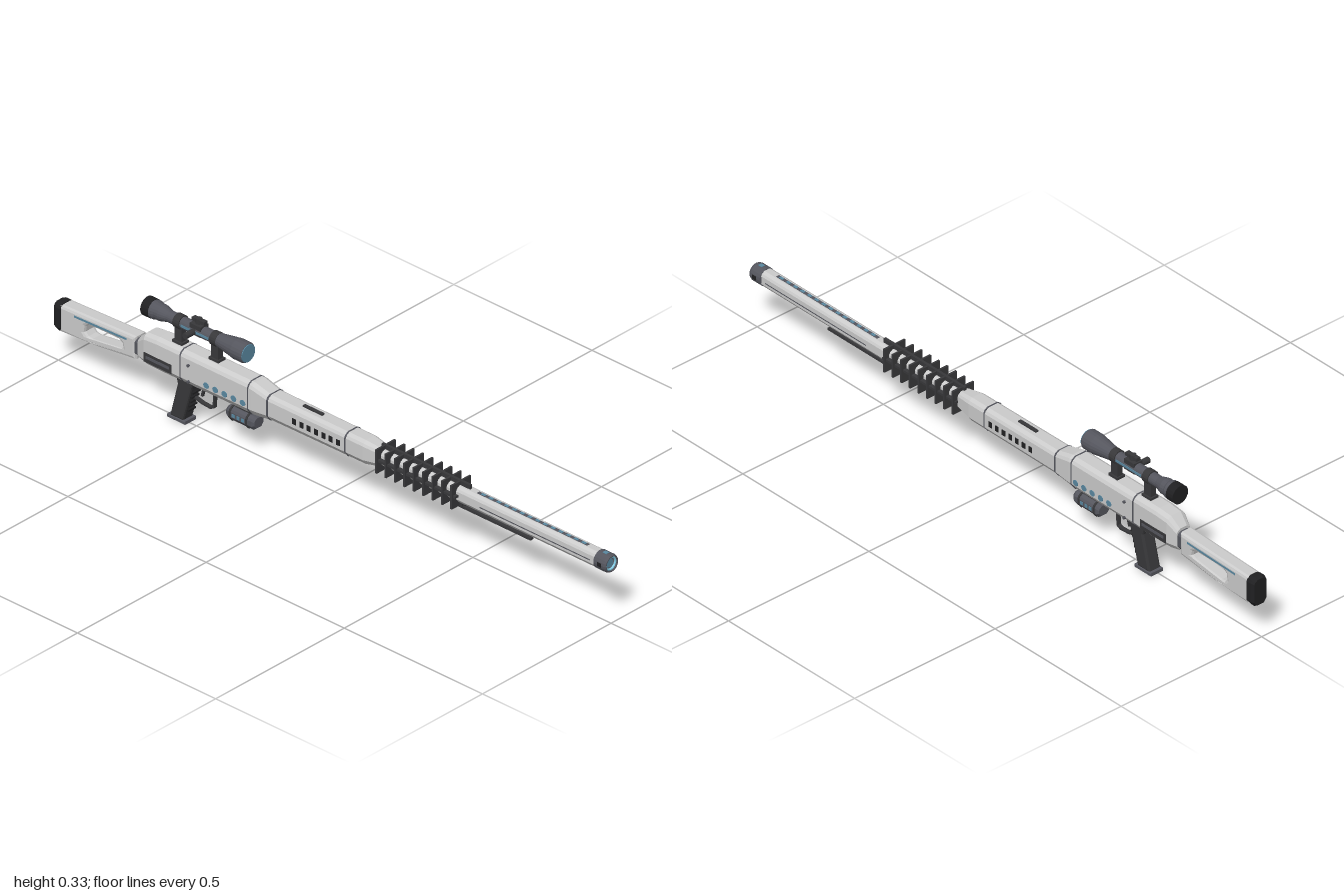
import * as THREE from 'three';

const mat = (color) => new THREE.MeshStandardMaterial({ color, flatShading: true });
const light = mat(0xcccccc), dark = mat(0x38383a), mid = mat(0x55565e), black = mat(0x202022);
const blue = mat(0x5a88a0), glow = mat(0x86cfe8);

// Hull through chamfered sections [z, bottom, top, halfWidth, topChamfer, bottomChamfer], front to back
function loft(sections) {
  const rings = sections.map(([z, b, t, w, ct, cb]) => [
    [w, b + cb * 1.3], [w, t - ct], [w - ct * 0.3, t - ct * 0.45], [w - ct, t],
    [ct - w, t], [ct * 0.3 - w, t - ct * 0.45], [-w, t - ct], [-w, b + cb * 1.3],
    [cb - w, b], [w - cb, b],
  ].map(([x, y]) => [x, y, z]));
  const n = rings[0].length, pos = [];
  const tri = (...p) => p.forEach((v) => pos.push(...v));
  for (let s = 0; s < rings.length - 1; s++) {
    const A = rings[s], B = rings[s + 1];
    for (let i = 0; i < n; i++) {
      const j = (i + 1) % n;
      tri(A[i], B[i], A[j]);
      tri(A[j], B[i], B[j]);
    }
  }
  const F = rings[0], K = rings[rings.length - 1];
  for (let i = 1; i < n - 1; i++) {
    tri(F[0], F[i], F[i + 1]);
    tri(K[0], K[i + 1], K[i]);
  }
  const g = new THREE.BufferGeometry();
  g.setAttribute('position', new THREE.Float32BufferAttribute(pos, 3));
  g.computeVertexNormals();
  return g;
}

// Side outline in (z, y), extruded across x with a bevel
function slab(points, width, bevel, hole) {
  const v = (p) => p.map(([z, y]) => new THREE.Vector2(z, y));
  const shape = new THREE.Shape(v(points));
  if (hole) shape.holes.push(new THREE.Path(v(hole)));
  const depth = width - 2 * bevel;
  const g = new THREE.ExtrudeGeometry(shape, {
    depth, bevelEnabled: bevel > 0, bevelSize: bevel, bevelOffset: -bevel, bevelThickness: bevel, bevelSegments: 2,
  });
  return g.translate(0, 0, -depth / 2).rotateY(-Math.PI / 2);
}

// Turned part along z from [radius, z] pairs
function turned(profile, sides = 20) {
  const pts = profile.map(([r, z]) => new THREE.Vector2(r, z));
  return new THREE.LatheGeometry(pts, sides).rotateX(Math.PI / 2);
}

export function createModel() {
  const root = new THREE.Group();
  const body = new THREE.Group();
  body.name = 'rifle';
  body.position.x = 0.004;
  root.add(body);

  const add = (name, geo, m, x = 0, y = 0, z = 0) => {
    const mesh = new THREE.Mesh(geo, m);
    mesh.name = name;
    mesh.position.set(x, y, z);
    body.add(mesh);
    return mesh;
  };
  const box = (name, m, w, h, d, x, y, z) => add(name, new THREE.BoxGeometry(w, h, d), m, x, y, z);
  const bothSides = (fn) => [-1, 1].forEach(fn);

  // Barrel with vent slots along the top and grooves on the sides
  add('barrel', loft([[0.965, 0.157, 0.205, 0.021, 0.012, 0.009], [0.15, 0.157, 0.205, 0.021, 0.012, 0.009]]), light);
  box('barrelTopStrip', mid, 0.011, 0.002, 0.4, 0, 0.2045, 0.715);
  for (let i = 0; i < 14; i++) box('barrelVent', blue, 0.008, 0.004, 0.014, 0, 0.2045, 0.535 + i * 0.028);
  bothSides((s) => box('barrelGroove', mid, 0.002, 0.003, 0.4, s * 0.0205, 0.178, 0.74));

  // Muzzle: hollow collar, glowing ring and bore
  add('muzzleCollar', turned([[0.02, 0.955], [0.027, 0.957], [0.027, 0.993], [0.024, 1], [0.021, 1], [0.021, 0.985], [0, 0.985]]), mid, 0, 0.181);
  add('muzzleRing', new THREE.TorusGeometry(0.0185, 0.0032, 8, 24), glow, 0, 0.181, 0.994);
  add('muzzleBore', new THREE.CylinderGeometry(0.013, 0.013, 0.008, 20).rotateX(Math.PI / 2), blue, 0, 0.181, 0.988);
  bothSides((s) => box('muzzlePort', black, 0.004, 0.012, 0.014, s * 0.026, 0.181, 0.978));
  box('muzzleTopPort', blue, 0.012, 0.004, 0.014, 0, 0.2065, 0.978);

  // Cooling fins strung on rails
  for (let i = 0; i < 9; i++) box('coolingFin', dark, 0.075, 0.073, 0.006, 0, 0.18, 0.18 + i * 0.034);
  box('finTopRail', dark, 0.008, 0.014, 0.32, 0, 0.211, 0.33);
  box('finBottomRail', dark, 0.008, 0.014, 0.3, 0, 0.153, 0.32);
  bothSides((s) => box('finSideRail', dark, 0.014, 0.007, 0.29, s * 0.026, 0.181, 0.318));

  // Folded support rod under the barrel
  box('supportRod', dark, 0.012, 0.007, 0.26, 0, 0.141, 0.58);
  box('supportHinge', dark, 0.016, 0.022, 0.02, 0, 0.15, 0.455);

  // Handguard and receiver as one stepped hull
  add('handguard', loft([
    [0.175, 0.153, 0.208, 0.023, 0.012, 0.009], [0.125, 0.142, 0.215, 0.03, 0.014, 0.013],
    [-0.22, 0.139, 0.216, 0.031, 0.014, 0.014],
  ]), light);
  add('receiver', loft([
    [-0.215, 0.138, 0.216, 0.031, 0.014, 0.014], [-0.275, 0.131, 0.232, 0.034, 0.016, 0.016],
    [-0.62, 0.129, 0.232, 0.034, 0.016, 0.016], [-0.665, 0.129, 0.228, 0.033, 0.016, 0.016],
    [-0.695, 0.132, 0.2, 0.024, 0.012, 0.012],
  ]), light);
  // Panel seams
  add('handguardSeam', loft([[0.064, 0.1405, 0.2165, 0.0315, 0.014, 0.014], [0.06, 0.1405, 0.2165, 0.0315, 0.014, 0.014]]), mid);
  add('middleSeam', loft([[-0.217, 0.1375, 0.2175, 0.0323, 0.014, 0.014], [-0.222, 0.1375, 0.2175, 0.0323, 0.014, 0.014]]), mid);
  for (const z of [-0.285, -0.53]) {
    add('receiverSeam', loft([[z, 0.1285, 0.2328, 0.0346, 0.016, 0.016], [z - 0.004, 0.1285, 0.2328, 0.0346, 0.016, 0.016]]), mid);
  }
  box('sightRail', dark, 0.01, 0.006, 0.07, 0, 0.217, -0.08);

  bothSides((s) => {
    for (let i = 0; i < 7; i++) box('handguardVent', black, 0.003, 0.017, 0.013, s * 0.0305, 0.178, 0.037 - i * 0.0265);
    for (let i = 0; i < 5; i++) {
      const light5 = add('receiverLight', new THREE.CylinderGeometry(0.009, 0.009, 0.004, 12).rotateZ(Math.PI / 2), blue, s * 0.0335, 0.163, -0.305 - i * 0.033);
      light5.scale.z = 1.1;
    }
    box('sidePanel', dark, 0.004, 0.028, 0.1, s * 0.0335, 0.161, -0.612);
    box('sidePanelBar', mid, 0.006, 0.008, 0.085, s * 0.034, 0.163, -0.612);
    for (const y of [0.15, 0.2]) {
      add('receiverBolt', new THREE.CylinderGeometry(0.004, 0.004, 0.008, 8).rotateZ(Math.PI / 2), mid, s * 0.036, y, -0.5);
    }
  });

  // Stock with an open slot, cheek strip and butt pad
  add('stockNeck', loft([[-0.685, 0.135, 0.193, 0.021, 0.01, 0.01], [-0.73, 0.135, 0.19, 0.021, 0.01, 0.01]]), mid);
  add('stock', slab(
    [[-0.705, 0.128], [-0.705, 0.197], [-0.98, 0.187], [-0.98, 0.104], [-0.84, 0.112]], 0.047, 0.009,
    [[-0.76, 0.139], [-0.751, 0.147], [-0.754, 0.16], [-0.765, 0.167], [-0.875, 0.166], [-0.887, 0.157], [-0.89, 0.138], [-0.88, 0.127], [-0.865, 0.125]],
  ), light);
  bothSides((s) => {
    const strip = box('stockStrip', blue, 0.002, 0.006, 0.19, s * 0.0232, 0.177, -0.83);
    strip.rotation.x = -0.036;
  });
  add('buttPad', loft([[-0.973, 0.102, 0.19, 0.026, 0.014, 0.012], [-0.99, 0.101, 0.191, 0.026, 0.014, 0.012], [-1, 0.106, 0.186, 0.022, 0.012, 0.01]]), black);

  // Pistol grip with ribs and a flared foot
  add('grip', slab([[-0.495, 0.137], [-0.505, 0.115], [-0.535, 0.008], [-0.582, 0.008], [-0.555, 0.115], [-0.56, 0.137]], 0.042, 0.006), dark);
  for (let i = 0; i < 5; i++) box('gripRib', black, 0.03, 0.005, 0.008, 0, 0.042 + i * 0.015, -0.523 + i * 0.0042);
  add('gripFoot', slab([[-0.525, 0], [-0.525, 0.01], [-0.59, 0.01], [-0.59, 0]], 0.045, 0.002), mid);

  // Trigger and guard
  const guard = [[-0.435, 0.135], [-0.438, 0.082], [-0.45, 0.076], [-0.48, 0.078], [-0.52, 0.088]];
  for (let i = 0; i < guard.length - 1; i++) {
    const [a, b] = [guard[i], guard[i + 1]];
    const dz = b[0] - a[0], dy = b[1] - a[1];
    const bar = box('triggerGuard', dark, 0.012, 0.005, Math.hypot(dz, dy) + 0.003, 0, (a[1] + b[1]) / 2, (a[0] + b[0]) / 2);
    bar.rotation.x = -Math.atan2(dy, dz);
  }
  box('trigger', dark, 0.007, 0.034, 0.007, 0, 0.115, -0.478).rotation.x = 0.25;

  // Pod slung below the receiver
  add('podBody', loft([[-0.278, 0.084, 0.114, 0.018, 0.01, 0.008], [-0.286, 0.078, 0.119, 0.022, 0.012, 0.01], [-0.372, 0.078, 0.119, 0.022, 0.012, 0.01], [-0.38, 0.084, 0.114, 0.018, 0.01, 0.008]]), mid);
  for (const z of [-0.3, -0.36]) add('podBand', loft([[z, 0.0765, 0.1205, 0.0235, 0.012, 0.01], [z - 0.006, 0.0765, 0.1205, 0.0235, 0.012, 0.01]]), dark);
  box('podMount', dark, 0.016, 0.024, 0.05, 0, 0.126, -0.33);
  bothSides((s) => {
    for (let i = 0; i < 3; i++) box('podLight', blue, 0.003, 0.01, 0.01, s * 0.022, 0.099, -0.316 - i * 0.017);
  });

  // Telescopic sight: tube, lenses, turrets and two posts
  const Y = 0.296;
  add('scopeTube', turned([
    [0, -0.68], [0.024, -0.68], [0.027, -0.676], [0.027, -0.645], [0.024, -0.64], [0.024, -0.625], [0.017, -0.6],
    [0.017, -0.435], [0.021, -0.41], [0.028, -0.365], [0.03, -0.355], [0.03, -0.322], [0.027, -0.318], [0, -0.318],
  ]), mid, 0, Y);
  add('frontLens', new THREE.CylinderGeometry(0.026, 0.026, 0.004, 20).rotateX(Math.PI / 2), blue, 0, Y, -0.3175);
  add('eyepiece', turned([[0, -0.682], [0.028, -0.682], [0.028, -0.655], [0.02, -0.655]]), black, 0, Y);
  bothSides((s) => box('scopeStrip', blue, 0.003, 0.007, 0.1, s * 0.0165, Y, -0.495));
  box('scopeTurretBlock', dark, 0.03, 0.032, 0.04, 0, Y + 0.005, -0.495);
  add('topTurret', new THREE.CylinderGeometry(0.009, 0.009, 0.02, 14), dark, 0, 0.323, -0.495);
  box('turretCap', dark, 0.014, 0.01, 0.045, 0, 0.326, -0.493);
  add('sideTurret', new THREE.CylinderGeometry(0.009, 0.009, 0.04, 14).rotateZ(Math.PI / 2), dark, -0.03, Y, -0.5);
  for (const z of [-0.43, -0.562]) {
    add('scopeRing', new THREE.CylinderGeometry(0.0205, 0.0205, 0.022, 18).rotateX(Math.PI / 2), dark, 0, Y, z);
    box('scopePost', dark, 0.018, 0.055, 0.026, 0, 0.256, z);
    box('scopeFoot', dark, 0.028, 0.01, 0.036, 0, 0.234, z);
  }
  return root;
}
